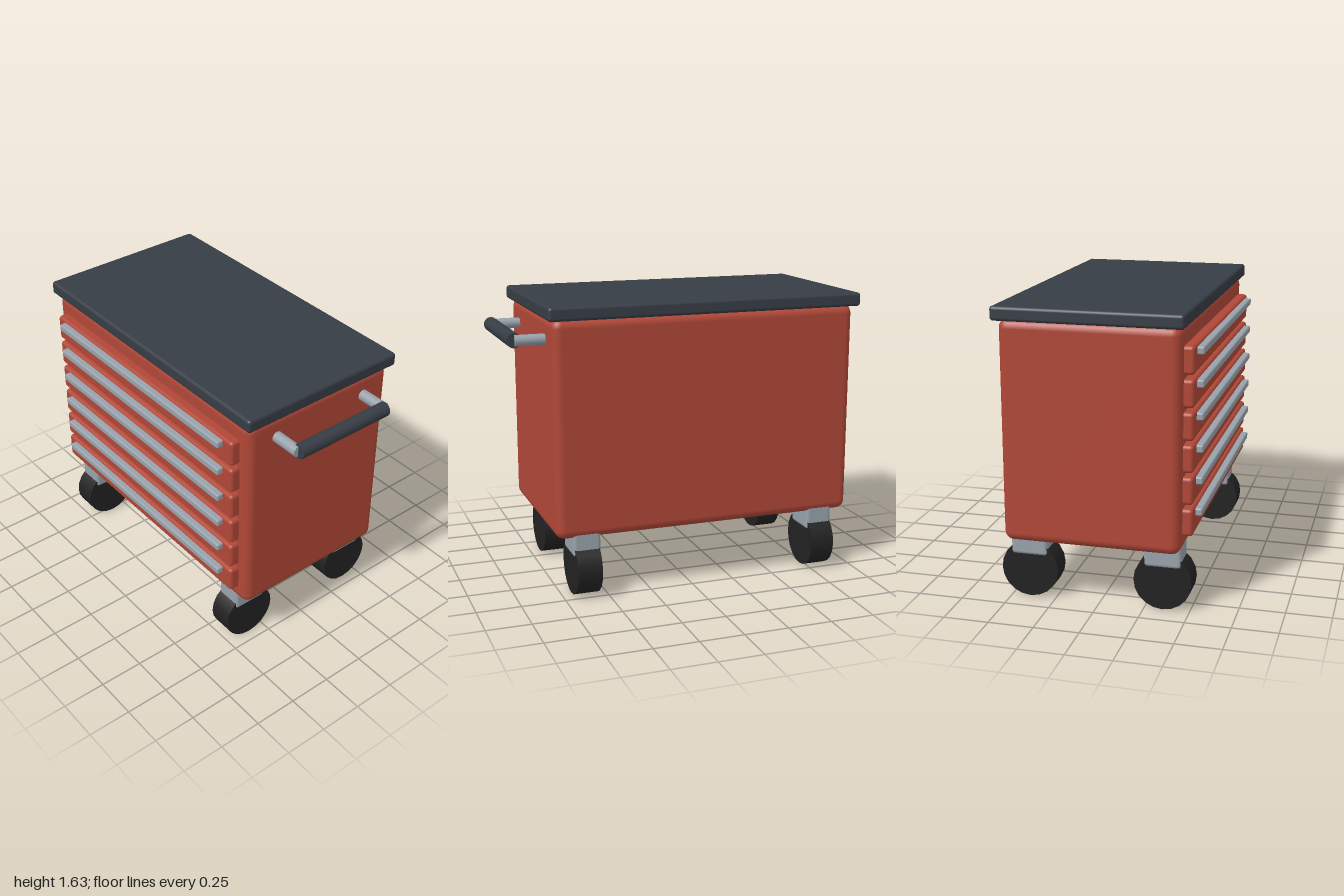
import * as THREE from 'three';
import { RoundedBoxGeometry } from 'three/addons/geometries/RoundedBoxGeometry.js';

const material = (name, color) => {
  const m = new THREE.MeshStandardMaterial({ color });
  m.name = name;
  return m;
};

export function createModel() {
  const root = new THREE.Group();
  root.name = 'toolCart';

  const red = material('redPaint', 0xb04737);
  const slate = material('slateTop', 0x373d45);
  const steel = material('steel', 0x98a2ab);
  const rubber = material('rubber', 0x222222);

  // Rounded box given by its low and high limits on each axis
  function block(name, mat, [x0, x1], [y0, y1], [z0, z1], radius, parent = root) {
    const geometry = new RoundedBoxGeometry(x1 - x0, y1 - y0, z1 - z0, 3, radius);
    const mesh = new THREE.Mesh(geometry, mat);
    mesh.name = name;
    mesh.position.set((x0 + x1) / 2, (y0 + y1) / 2, (z0 + z1) / 2);
    parent.add(mesh);
    return mesh;
  }

  // Cylinder lying along x or z
  function rod(name, mat, radius, length, axis, x, y, z, sides, parent = root) {
    const geometry = new THREE.CylinderGeometry(radius, radius, length, sides);
    if (axis === 'x') geometry.rotateZ(Math.PI / 2);
    else geometry.rotateX(Math.PI / 2);
    const mesh = new THREE.Mesh(geometry, mat);
    mesh.name = name;
    mesh.position.set(x, y, z);
    parent.add(mesh);
    return mesh;
  }

  // Cabinet and worktop
  block('cabinet', red, [-0.97, 0.793], [0.35, 1.565], [-0.51, 0.463], 0.05);
  block('worktop', slate, [-1, 0.82], [1.558, 1.635], [-0.537, 0.485], 0.018);

  // Six drawers, each with a full-width pull
  for (let i = 0; i < 6; i++) {
    const y = 1.385 - i * 0.1735;
    const drawer = new THREE.Group();
    drawer.name = `drawer${i + 1}`;
    root.add(drawer);
    block('drawerFront', red, [-0.903, 0.723], [y - 0.075, y + 0.075], [0.42, 0.518], 0.02, drawer);
    block('drawerPull', steel, [-0.833, 0.654], [y + 0.019, y + 0.061], [0.5, 0.554], 0.01, drawer);
  }

  // Push handle on the model's left side
  const handle = new THREE.Group();
  handle.name = 'pushHandle';
  root.add(handle);
  for (const z of [0.275, -0.33]) {
    rod('handlePost', steel, 0.031, 0.2, 'x', 0.857, 1.439, z, 16, handle);
  }
  rod('handleGrip', slate, 0.041, 0.606, 'z', 0.959, 1.439, -0.027, 16, handle);

  // Four casters
  for (const x of [-0.798, 0.62]) {
    for (const z of [0.35, -0.397]) {
      const caster = new THREE.Group();
      caster.name = 'caster';
      root.add(caster);
      block('casterBracket', steel, [x - 0.078, x + 0.078], [0.24, 0.4], [z - 0.103, z + 0.103], 0.02, caster);
      rod('casterWheel', rubber, 0.16, 0.14, 'x', x, 0.16, z, 20, caster);
    }
  }

  return root;
}
